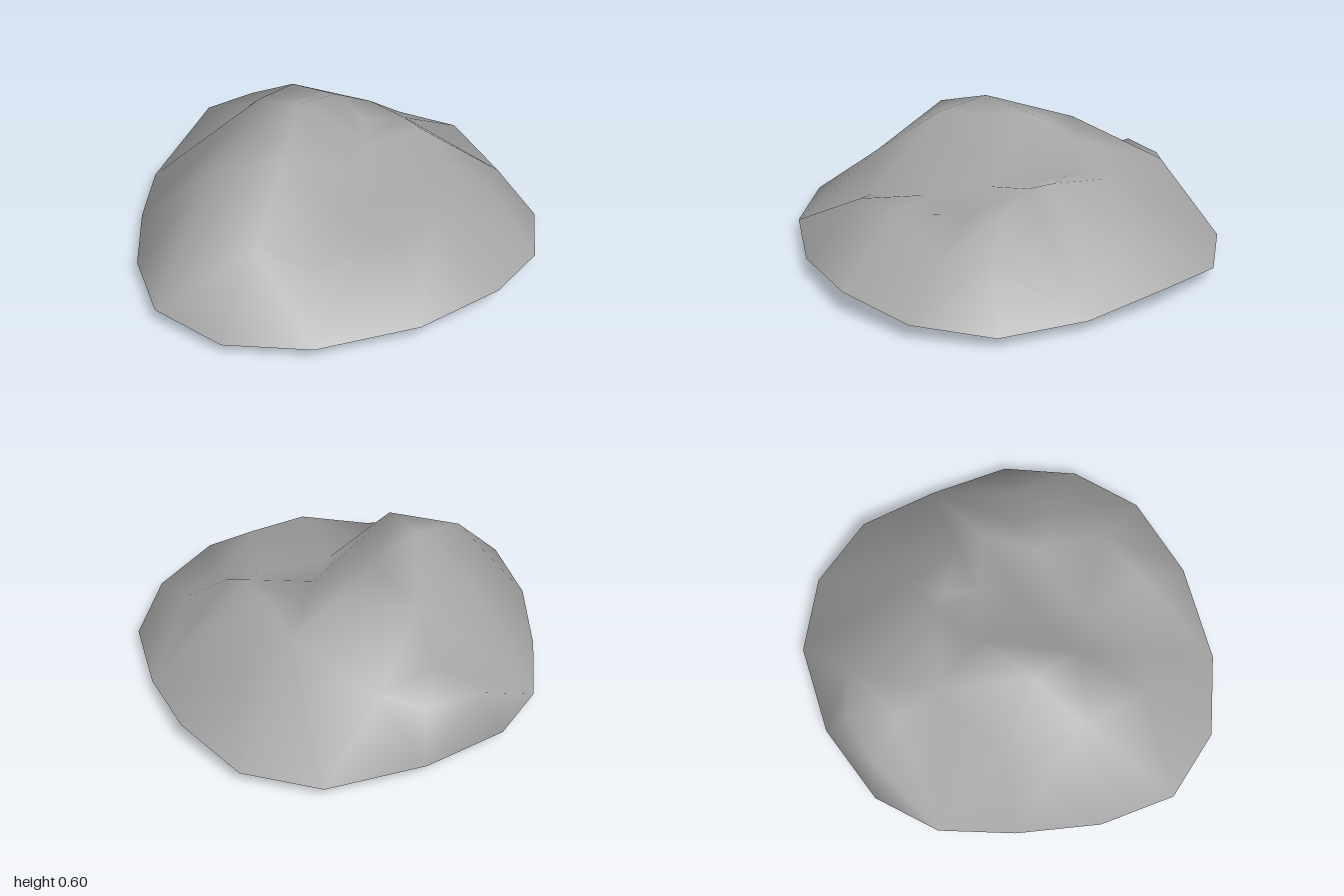
import * as THREE from 'three';

// Outer edge of the mound, one [x, y, z] per corner
const rim = [
  [1, 0.12, -0.03], [0.97, 0.07, -0.38], [0.77, 0.06, -0.68], [0.39, 0.09, -0.89],
  [0, 0.08, -0.96], [-0.31, 0.05, -0.87], [-0.58, 0.055, -0.64], [-0.84, 0.07, -0.35],
  [-1, 0.08, -0.03], [-0.94, 0.06, 0.32], [-0.7, 0.065, 0.62], [-0.31, 0.09, 0.86],
  [0.08, 0.115, 0.96], [0.43, 0.08, 0.9], [0.72, 0.055, 0.69], [0.89, 0.065, 0.34],
];

// Peaks, ridges and hollows of the upper face
const relief = [
  // main crest and its left shoulder
  [-0.55, 0.505, -0.16], [-0.25, 0.605, -0.18], [-0.31, 0.57, 0.06], [0.04, 0.58, -0.2], [0.3, 0.52, -0.22],
  [-0.62, 0.325, 0.19],
  // side ridge
  [0.51, 0.41, -0.18], [0.45, 0.455, 0.09], [0.42, 0.46, 0.22], [0.41, 0.37, 0.38], [0.53, 0.24, 0.55], [0.71, 0.26, -0.1],
  // front knoll
  [-0.24, 0.32, 0.6], [0.04, 0.35, 0.63],
  // gully between knoll and ridge
  [0.22, 0.325, 0.38], [0.31, 0.23, 0.61],
  // hollow between crest and knoll
  [-0.47, 0.19, 0.36], [-0.15, 0.27, 0.3], [0.1, 0.34, 0.13], [0.26, 0.37, 0.02], [0.36, 0.41, -0.1],
  // back slope
  [0.04, 0.5, -0.47], [-0.35, 0.37, -0.45], [0.44, 0.35, -0.65], [0.13, 0.33, -0.67],
  [0.3, 0.295, -0.8], [0.06, 0.28, -0.87],
];

// Triangles whose circumcircle in plan holds no other point, wound to face up
function triangulate(p) {
  const faces = [];
  for (let i = 0; i < p.length; i++)
    for (let j = i + 1; j < p.length; j++)
      for (let k = j + 1; k < p.length; k++) {
        const [ax, , az] = p[i];
        const bx = p[j][0] - ax, bz = p[j][2] - az;
        const cx = p[k][0] - ax, cz = p[k][2] - az;
        const d = 2 * (bx * cz - bz * cx);
        if (Math.abs(d) < 1e-6) continue;
        const b2 = bx * bx + bz * bz, c2 = cx * cx + cz * cz;
        const ux = (cz * b2 - bz * c2) / d, uz = (bx * c2 - cx * b2) / d;
        const r2 = ux * ux + uz * uz;
        const empty = p.every((q, n) => n === i || n === j || n === k ||
          (q[0] - ax - ux) ** 2 + (q[2] - az - uz) ** 2 > r2 - 1e-9);
        if (empty) faces.push(...(d < 0 ? [i, j, k] : [i, k, j]));
      }
  return faces;
}

export function createModel() {
  const points = [...rim, ...relief];
  const index = triangulate(points);
  const n = rim.length;

  // Underside: two rings that tuck in below the rim, closed by a centre point
  const rings = [0, points.length, points.length + n];
  for (const [x, y, z] of rim) points.push([x * 0.94, y - 0.025, z * 0.94]);
  for (const [x, , z] of rim) {
    const dip = Math.exp(-((x * 0.7 + 0.25) ** 2 + (z * 0.7 + 0.62) ** 2) * 12);
    points.push([x * 0.7, 0.025 * (1 - dip), z * 0.7]);
  }
  const centre = points.push([0, 0.03, 0]) - 1;
  for (let i = 0; i < n; i++) {
    const j = (i + 1) % n;
    for (let r = 0; r < 2; r++) {
      const a = rings[r], b = rings[r + 1];
      index.push(a + i, b + i, a + j, a + j, b + i, b + j);
    }
    index.push(rings[2] + i, centre, rings[2] + j);
  }

  const geometry = new THREE.BufferGeometry();
  geometry.setAttribute('position', new THREE.Float32BufferAttribute(points.flat(), 3));
  geometry.setIndex(index);
  geometry.computeVertexNormals();

  const stone = new THREE.MeshStandardMaterial({ color: 0xa6a6a6 });
  stone.name = 'grey stone';
  const rock = new THREE.Mesh(geometry, stone);
  rock.name = 'rock';
  const group = new THREE.Group();
  group.name = 'lowRock';
  group.add(rock);
  return group;
}
